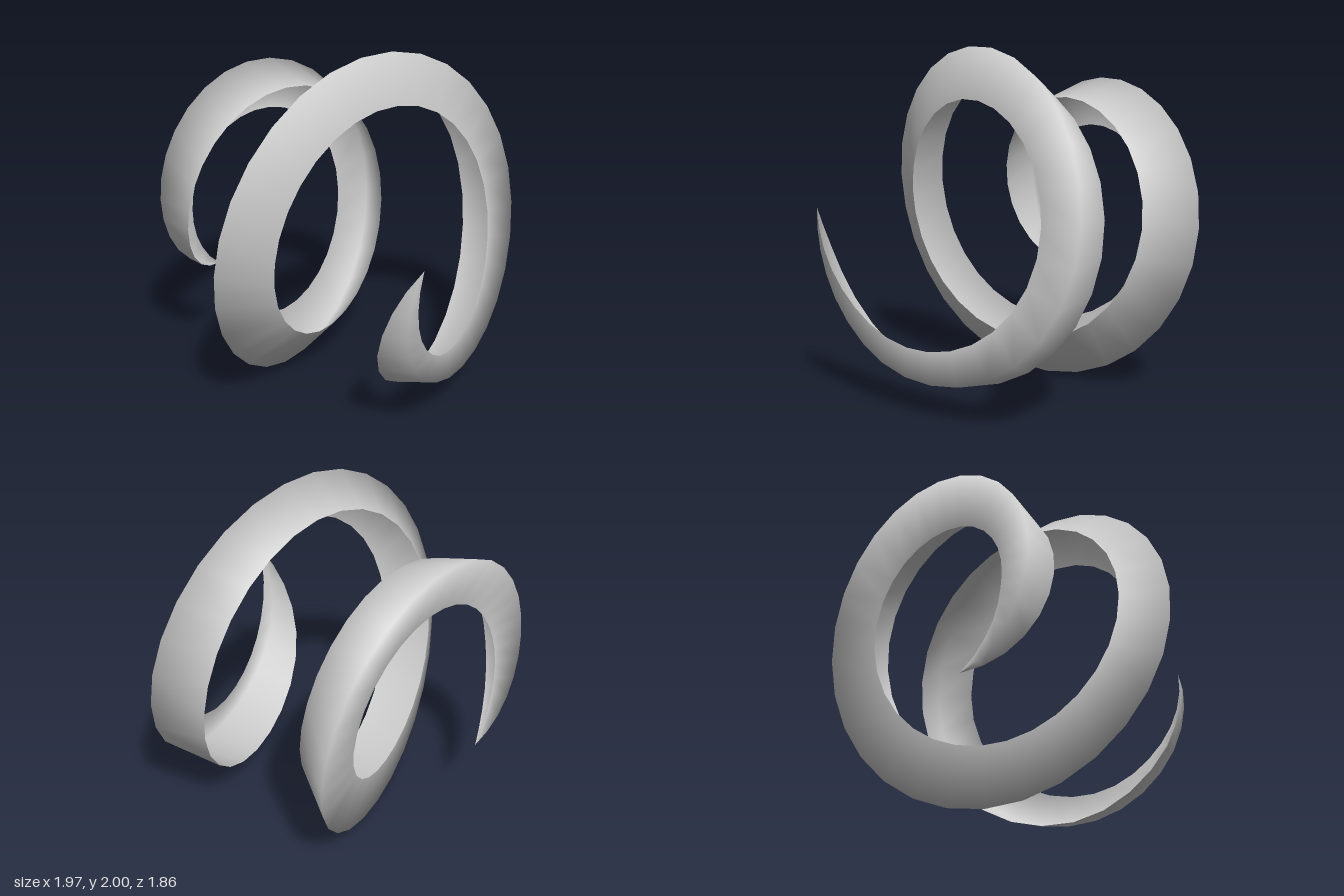
import * as THREE from 'three';

// Key stations along the coil: [turn angle in degrees, then radius and z of the
// front edge, the outer ridge and the back edge of the folded ribbon]
const KEYS = [
  [168, 0.56, 0.93, 0.56, 0.93, 0.56, 0.93],
  [190, 0.555, 0.9, 0.605, 0.885, 0.62, 0.8],
  [225, 0.565, 0.84, 0.69, 0.825, 0.75, 0.63],
  [270, 0.62, 0.75, 0.79, 0.76, 0.87, 0.48],
  [360, 0.72, 0.5, 0.985, 0.51, 0.9, 0.2],
  [450, 0.71, 0.28, 1.0, 0.2, 0.83, 0.0],
  [540, 0.7, 0.07, 0.99, -0.1, 0.74, -0.23],
  [630, 0.74, -0.12, 1.005, -0.36, 0.67, -0.41],
  [720, 0.75, -0.33, 0.94, -0.61, 0.63, -0.6],
  [810, 0.68, -0.5, 0.78, -0.82, 0.495, -0.75],
  [900, 0.61, -0.69, 0.6, -0.925, 0.41, -0.86],
  [940, 0.57, -0.8, 0.56, -0.92, 0.45, -0.88],
  [969, 0.51, -0.89, 0.51, -0.89, 0.51, -0.89],
];
const STEPS = 64;
const POINTS = 3;

// Open ribbon folded along its outer ridge, coiling about z and tapering to a point at both ends
function ribbonGeometry() {
  const track = new THREE.CubicInterpolant(
    KEYS.map((k) => k[0]), KEYS.flatMap((k) => k.slice(1)), 2 * POINTS);
  const first = KEYS[0][0];
  const last = KEYS[KEYS.length - 1][0];
  const positions = [];
  const index = [];

  for (let i = 0; i <= STEPS; i++) {
    const turn = first + ((last - first) * i) / STEPS;
    const section = track.evaluate(turn);
    const a = THREE.MathUtils.degToRad(turn);
    for (let j = 0; j < POINTS; j++) {
      const radius = section[2 * j];
      positions.push(radius * Math.cos(a), 1 + radius * Math.sin(a), section[2 * j + 1]);
      if (i < STEPS && j < POINTS - 1) {
        const p = i * POINTS + j;
        const q = p + POINTS;
        index.push(p, p + 1, q, p + 1, q + 1, q);
      }
    }
  }

  const geometry = new THREE.BufferGeometry();
  geometry.setAttribute('position', new THREE.Float32BufferAttribute(positions, 3));
  geometry.setIndex(index);
  geometry.computeVertexNormals();
  return geometry;
}

export function createModel() {
  const group = new THREE.Group();
  group.name = 'coiledRibbon';
  const ribbon = new THREE.Mesh(
    ribbonGeometry(),
    new THREE.MeshStandardMaterial({ color: 0xcccccc, side: THREE.DoubleSide }));
  ribbon.name = 'ribbon';
  group.add(ribbon);
  return group;
}
